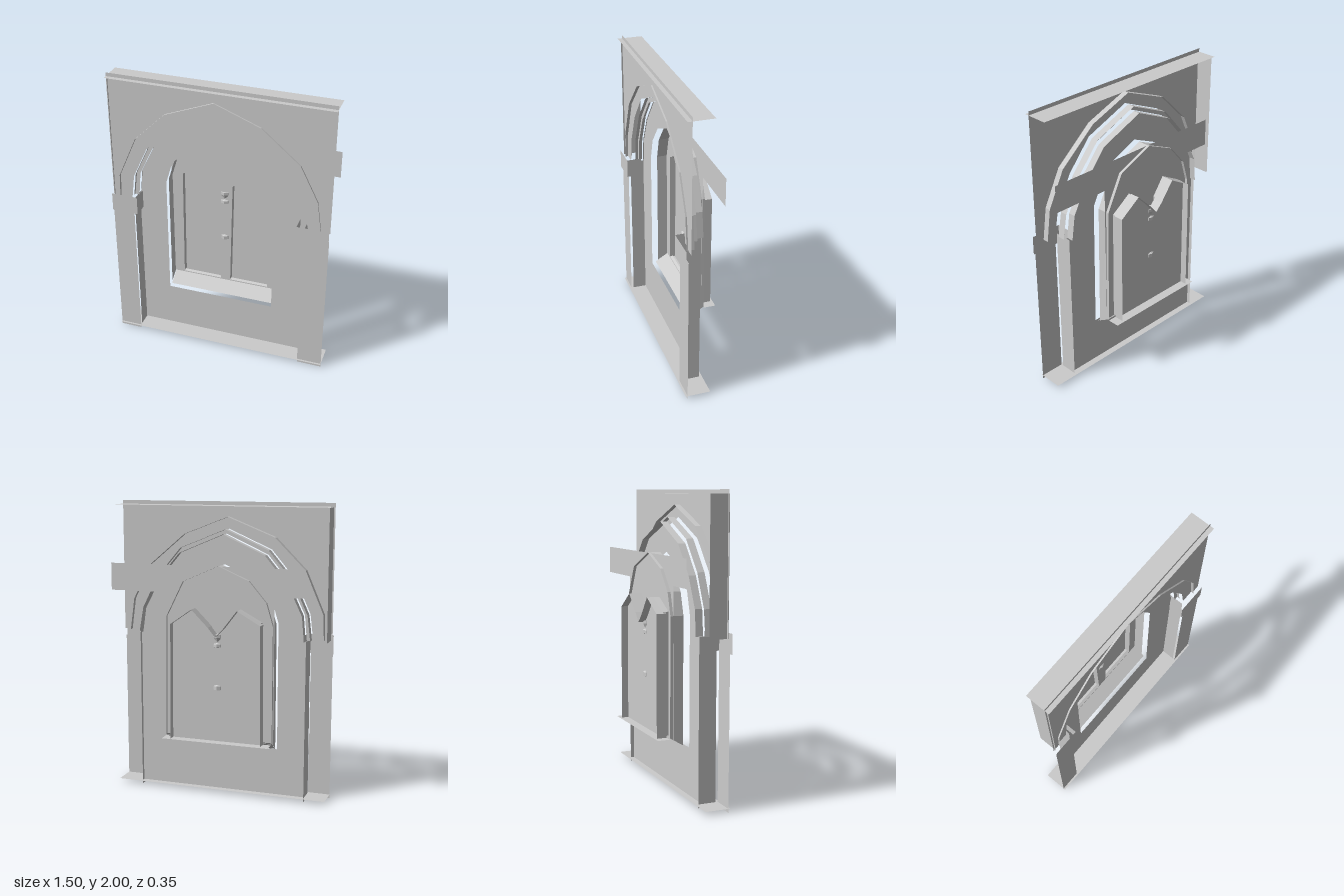
import * as THREE from 'three';

const material = new THREE.MeshStandardMaterial({ color: 0xcccccc, flatShading: true, side: THREE.DoubleSide });

// Arch outlines run from the left of the front, over the apex, to the right.
const outerArch = [[-0.7, 1.1], [-0.695, 1.27], [-0.57, 1.56], [-0.36, 1.77], [-0.03, 1.9], [0.28, 1.78], [0.54, 1.56], [0.66, 1.32], [0.69, 1.1]];
const middleArch = [[-0.62, 1.1], [-0.6, 1.27], [-0.5, 1.49], [-0.33, 1.69], [-0.03, 1.82], [0.29, 1.69], [0.46, 1.49], [0.57, 1.27], [0.6, 1.1]];
const innerArch = [[-0.59, 1.1], [-0.575, 1.27], [-0.48, 1.47], [-0.32, 1.66], [-0.03, 1.79], [0.28, 1.66], [0.44, 1.47], [0.545, 1.27], [0.57, 1.1]];
const windowHead = [[-0.405, 1.21], [-0.36, 1.36], [-0.24, 1.5], [-0.03, 1.59], [0.22, 1.48], [0.34, 1.24]];
const lancets = [
  [[-0.335, 0.42], [-0.33, 1.23], [-0.18, 1.31], [-0.095, 1.19], [-0.06, 0.42]],
  [[0.01, 0.42], [0.025, 1.19], [0.135, 1.3], [0.28, 1.2], [0.285, 0.42]],
];
// Outline round both lancets, dipping between them
const twinHead = [[-0.345, 0.41], [-0.34, 1.22], [-0.18, 1.31], [-0.08, 1.18], [-0.03, 1.13], [0.02, 1.19], [0.135, 1.305], [0.285, 1.2], [0.29, 0.41]];

// Depths of the layers: flat faces stand slightly proud of the reveals
const PILASTER = 0.157, IMPOST = 0.173, WALL = 0.14, OUTER_RING = 0.13, INNER_RING = 0.08, PANEL = 0.045;
const TRACERY = -0.07, PANE = -0.11, HOOD = -0.158, BACK = -0.173;

const toShape = (points) => new THREE.Shape(points.map(([x, y]) => new THREE.Vector2(x, y)));
const windowOutline = (sillY) => [[-0.405, sillY], ...windowHead, [0.35, sillY]];

export function createModel() {
  const model = new THREE.Group();

  const add = (name, geometry, x = 0, z = 0) => {
    const mesh = new THREE.Mesh(geometry, material);
    mesh.name = name;
    mesh.position.set(x, 0, z);
    model.add(mesh);
  };

  // Flat sheet facing the front, with optional holes
  const sheet = (name, points, z, holes = []) => {
    const shape = toShape(points);
    shape.holes = holes.map((h) => toShape(h));
    add(name, new THREE.ShapeGeometry(shape), 0, z);
  };

  // Strip of quads between two outlines of equal length
  const strip = (name, a, za, b, zb) => {
    const positions = [], index = [];
    a.forEach((p, i) => positions.push(p[0], p[1], za, b[i][0], b[i][1], zb));
    for (let i = 0; i < a.length - 1; i++) {
      const k = 2 * i;
      index.push(k, k + 1, k + 2, k + 1, k + 3, k + 2);
    }
    const geometry = new THREE.BufferGeometry();
    geometry.setAttribute('position', new THREE.Float32BufferAttribute(positions, 3));
    geometry.setIndex(index);
    geometry.computeVertexNormals();
    add(name, geometry);
  };
  const reveal = (name, points, z0, z1) => strip(name, points, z0, points, z1);

  // Front wall above the arch, with its top, base and one end
  sheet('frontWall', [[-0.75, 1.1], [-0.75, 2], [0.75, 2], [0.75, 1.1], ...[...outerArch].reverse()], WALL);
  reveal('wallTop', [[-0.75, 1.975], [0.75, 1.975]], 0.17, 0);
  reveal('wallEnd', [[-0.74, 1.1], [-0.74, 1.975]], 0.15, 0.02);
  reveal('wallBase', [[-0.75, 0.025], [0.75, 0.025]], 0.17, 0);

  // Stepped arch mouldings
  reveal('outerArchReveal', outerArch, 0.15, 0.1);
  strip('outerArchFace', outerArch, OUTER_RING, middleArch, OUTER_RING);
  reveal('middleArchReveal', middleArch, 0.1, 0.05);
  strip('innerArchFace', middleArch, INNER_RING, innerArch, INNER_RING);
  reveal('innerArchReveal', innerArch, 0.05, 0);

  // Recessed panel with the window opening
  sheet('recessedPanel', [[-0.6, 0.01], [-0.6, 1.1], ...innerArch, [0.58, 1.1], [0.58, 0.01]], PANEL, [windowOutline(0.345)]);

  // Pilasters and the impost plates on them
  for (const [side, outer, inner, impost] of [['right', -0.75, -0.6, -0.57], ['left', 0.75, 0.58, 0.535]]) {
    sheet(side + 'Pilaster', [[outer, 0], [inner, 0], [inner, 1.05], [outer, 1.05]], PILASTER);
    reveal(side + 'PilasterJamb', [[inner, 0], [inner, 1.1]], 0.14, 0.02);
    sheet(side + 'Impost', [[outer, 1], [impost, 1], [impost, 1.13], [outer, 1.13]], IMPOST);
    reveal(side + 'ImpostReturn', [[impost, 1], [impost, 1.13]], IMPOST, 0.07);
  }

  // Window reveal, sloping sill and the ledge behind it
  strip('windowReveal', windowOutline(0.365), 0, windowOutline(0.42), -0.09);
  strip('windowSill', [[-0.4, 0.355], [0.35, 0.355]], 0.02, [[-0.4, 0.425], [0.35, 0.425]], -0.09);
  reveal('windowLedge', [[-0.4, 0.41], [0.35, 0.41]], -0.09, BACK);

  // Tracery sheet, widened into a band behind the window head
  sheet('tracery', [
    [-0.41, 0.41], [-0.41, 1.4], [-0.6, 1.4], [-0.6, 1.585],
    [0.75, 1.585], [0.75, 1.4], [0.35, 1.4], [0.35, 0.41],
  ], TRACERY, lancets);

  // Twin lancets, closed by one pane with a hood round its back
  lancets.forEach((outline) => reveal('lancetReveal', outline, TRACERY, PANE));
  sheet('pane', twinHead, PANE);
  reveal('lancetHood', twinHead, -0.09, HOOD);

  // Slender column inside the mullion, with rings and a capital showing
  const column = [[0.018, 0.42], [0.018, 0.76], [0.034, 0.765], [0.034, 0.79], [0.018, 0.8], [0.018, 1.05], [0.034, 1.055], [0.034, 1.075], [0.018, 1.085], [0.034, 1.12], [0.034, 1.14], [0, 1.14]];
  add('column', new THREE.LatheGeometry(column.map(([r, y]) => new THREE.Vector2(r, y)), 8), -0.03, -0.09);

  return model;
}
